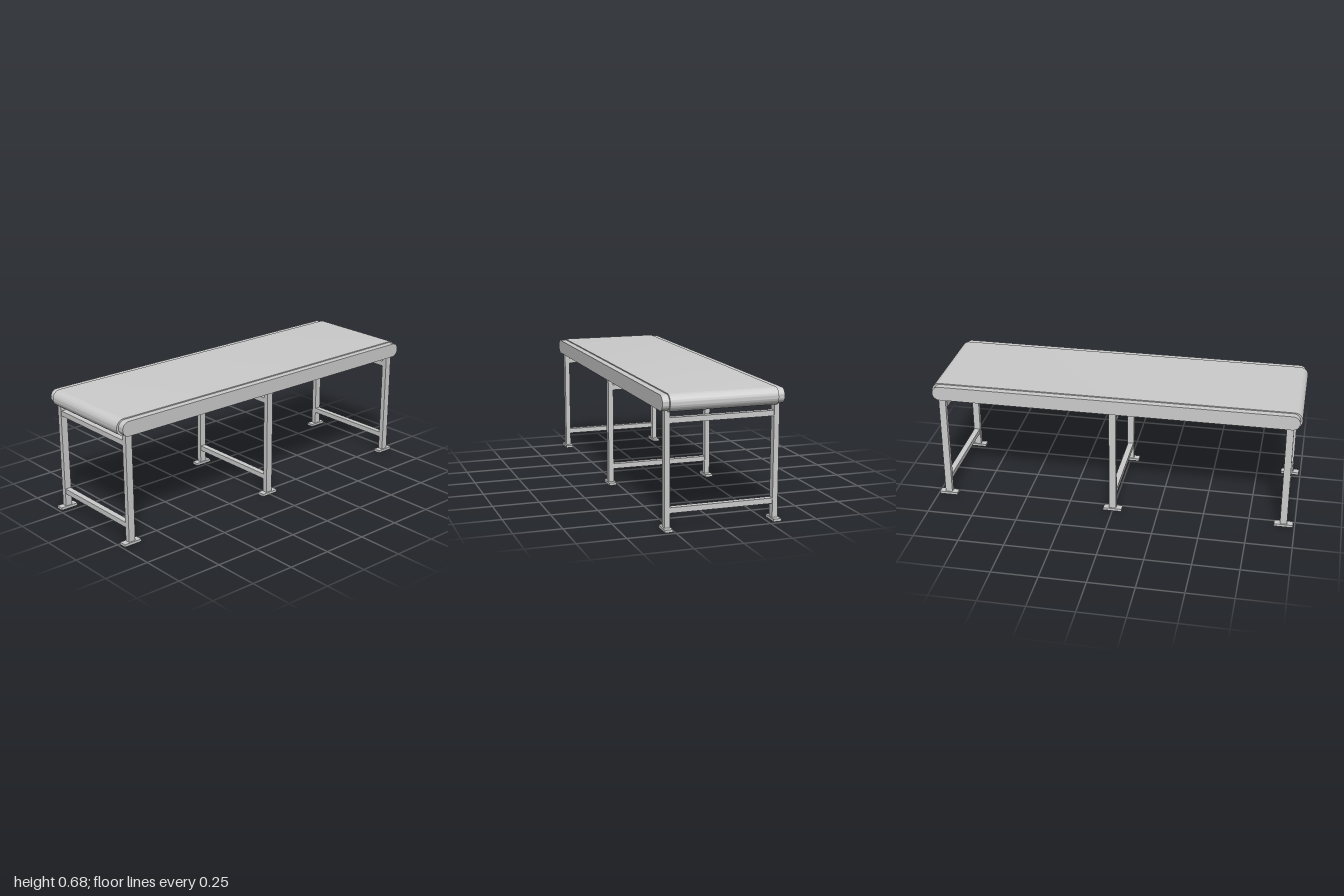
import * as THREE from 'three';
import { toCreasedNormals } from 'three/addons/utils/BufferGeometryUtils.js';

const material = new THREE.MeshStandardMaterial({ color: 0xcccccc });
const BED_Y = 0.639;

function add(parent, name, geometry, x, y, z) {
  const mesh = new THREE.Mesh(geometry, material);
  mesh.name = name;
  mesh.position.set(x, y, z);
  parent.add(mesh);
  return mesh;
}

// Long slab with half-round ends, running along z and `width` wide in x
function roundEndedSlab(width, halfLength, radius) {
  const c = halfLength - radius;
  const shape = new THREE.Shape();
  shape.moveTo(-c, -radius);
  shape.lineTo(c, -radius);
  shape.absarc(c, 0, radius, -Math.PI / 2, Math.PI / 2, false);
  shape.lineTo(-c, radius);
  shape.absarc(-c, 0, radius, Math.PI / 2, Math.PI * 1.5, false);
  const geometry = new THREE.ExtrudeGeometry(shape, {
    depth: width, bevelEnabled: false, curveSegments: 20,
  });
  geometry.translate(0, 0, -width / 2);
  geometry.rotateY(-Math.PI / 2);
  return toCreasedNormals(geometry, 0.6);
}

// One support: two legs on foot plates, joined by two cross bars
function makeTrestle(name, z, drop) {
  const trestle = new THREE.Group();
  trestle.name = name;
  trestle.position.set(-0.0035, 0, z);
  const base = 0.004 - drop;
  const top = 0.602;
  for (const [side, s] of [['left', 1], ['right', -1]]) {
    const height = top - base;
    add(trestle, side + 'Leg', new THREE.BoxGeometry(0.028, height, 0.038), s * 0.2855, base + height / 2, 0);
    add(trestle, side + 'Foot', new THREE.BoxGeometry(0.041, 0.014, 0.102), s * 0.2865, base + 0.007, 0);
  }
  for (const [bar, y] of [['lowerCrossBar', 0.104], ['upperCrossBar', 0.551]]) {
    add(trestle, bar, new THREE.BoxGeometry(0.545, 0.028, 0.032), 0, y - drop, 0);
  }
  return trestle;
}

export function createModel() {
  const model = new THREE.Group();
  model.name = 'conveyor';

  // Belt wrapped round the bed
  add(model, 'belt', roundEndedSlab(0.562, 1, 0.0445), 0, BED_Y, 0);

  // Slightly lower side rails
  const rail = roundEndedSlab(0.036, 0.989, 0.039);
  add(model, 'leftRail', rail, 0.299, BED_Y, 0);
  add(model, 'rightRail', rail, -0.299, BED_Y, 0);

  // Supports at both ends and in the middle
  model.add(makeTrestle('frontTrestle', 0.94, 0));
  model.add(makeTrestle('middleTrestle', 0, 0.004));
  model.add(makeTrestle('backTrestle', -0.94, 0));
  return model;
}
